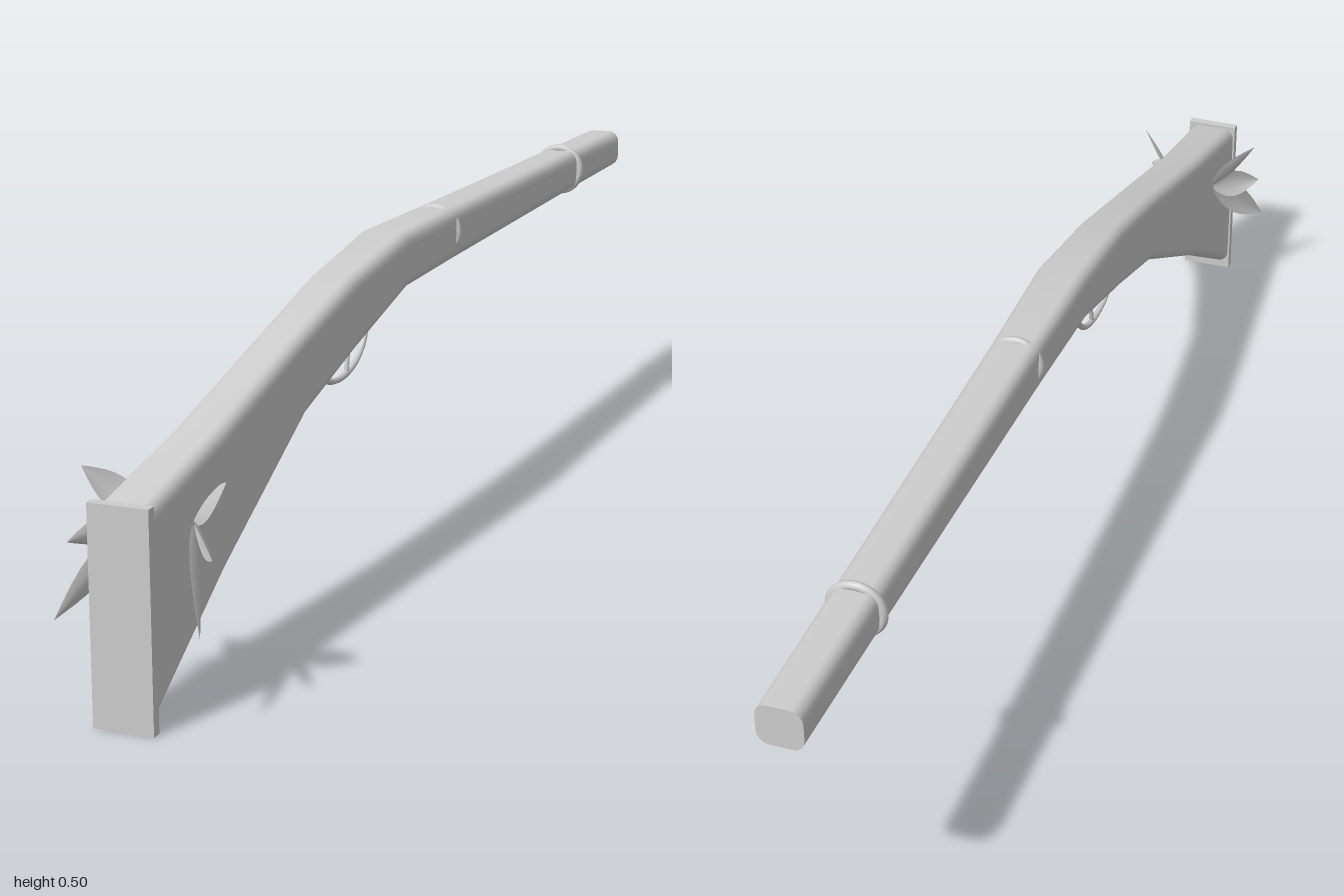
import * as THREE from 'three';

const V = (x, y, z) => new THREE.Vector3(x, y, z);

// Rounded rectangle, counter-clockwise seen from +z
function section([z, bottom, top, hw]) {
  const rx = 0.017, ry = 0.02, n = 4, pts = [];
  const centres = [[hw - rx, top - ry], [rx - hw, top - ry], [rx - hw, bottom + ry], [hw - rx, bottom + ry]];
  centres.forEach(([cx, cy], q) => {
    for (let k = 0; k <= n; k++) {
      const a = (q + k / n) * Math.PI / 2;
      pts.push([cx + rx * Math.cos(a), cy + ry * Math.sin(a), z]);
    }
  });
  return pts;
}

// Skin over cross-sections running from +z to -z, closed at the far end
function loft(sections) {
  const rings = sections.map(section), n = rings[0].length, index = [];
  const position = rings.flat(2);
  for (let i = 0; i < rings.length - 1; i++) {
    for (let j = 0; j < n; j++) {
      const a = i * n + j, b = i * n + (j + 1) % n;
      index.push(a, a + n, b, b, a + n, b + n);
    }
  }
  const cap = rings.length * n;
  position.push(...rings.at(-1).flat());
  for (let k = 1; k < n - 1; k++) index.push(cap, cap + k + 1, cap + k);
  const g = new THREE.BufferGeometry();
  g.setAttribute('position', new THREE.Float32BufferAttribute(position, 3));
  g.setIndex(index);
  g.computeVertexNormals();
  return g;
}

// Pointed petal with a shallow trough, running from base to tip
function petal(base, tip, wide, halfWidth) {
  const axis = tip.clone().sub(base), dir = axis.clone().normalize();
  const w = wide.clone().addScaledVector(dir, -wide.dot(dir)).normalize();
  const normal = dir.clone().cross(w);
  const g = new THREE.PlaneGeometry(1, 1, 4, 10), p = g.attributes.position;
  for (let i = 0; i < p.count; i++) {
    const s = p.getX(i) * 2, t = p.getY(i) + 0.5;
    const width = halfWidth * Math.sin(Math.PI * Math.pow(t, 0.85));
    const v = base.clone().addScaledVector(axis, t).addScaledVector(w, s * width)
      .addScaledVector(normal, 0.3 * width * (s * s - 0.5));
    p.setXYZ(i, v.x, v.y, v.z);
  }
  g.computeVertexNormals();
  return g;
}

export function createModel() {
  const group = new THREE.Group();
  const grey = new THREE.MeshStandardMaterial({ color: 0xcccccc });
  grey.name = 'grey';
  const petalGrey = grey;
  petalGrey.side = THREE.DoubleSide;
  const add = (name, geometry, parent = group) => {
    const mesh = new THREE.Mesh(geometry, grey);
    mesh.name = name;
    parent.add(mesh);
    return mesh;
  };

  // Stock and barrel in one body: z, bottom, top, half width
  add('stockAndBarrel', loft([
    [0.988, 0.012, 0.3, 0.041],
    [0.77, 0.146, 0.346, 0.038],
    [0.49, 0.296, 0.42, 0.037],
    [0.31, 0.35, 0.464, 0.039],
    [0.11, 0.405, 0.493, 0.043],
    [-0.11, 0.408, 0.491, 0.039],
    [-0.4, 0.412, 0.489, 0.037],
    [-0.74, 0.417, 0.487, 0.035],
    [-1, 0.42, 0.485, 0.034],
  ]));

  // Butt plate
  add('buttPlate', new THREE.BoxGeometry(0.088, 0.305, 0.015)).position.set(0, 0.1525, 0.9925);

  // Barrel bands
  for (const z of [-0.11, -0.745]) {
    add('barrelBand', new THREE.TorusGeometry(0.039, 0.007, 10, 40)).position.set(0, 0.452, z);
  }

  // Trigger guard and trigger
  const guard = new THREE.CatmullRomCurve3([
    V(0, 0.345, 0.395), V(0, 0.322, 0.365), V(0, 0.303, 0.32), V(0, 0.301, 0.27),
    V(0, 0.316, 0.22), V(0, 0.345, 0.19), V(0, 0.368, 0.19), V(0, 0.385, 0.21),
  ]);
  add('triggerGuard', new THREE.TubeGeometry(guard, 40, 0.005, 8));
  const trigger = new THREE.CatmullRomCurve3([
    V(0, 0.375, 0.25), V(0, 0.35, 0.252), V(0, 0.325, 0.258), V(0, 0.305, 0.262),
  ]);
  add('trigger', new THREE.TubeGeometry(trigger, 12, 0.004, 8));

  // Three petals on each side of the stock
  for (const s of [1, -1]) {
    const flower = new THREE.Group();
    flower.name = s > 0 ? 'leftPetals' : 'rightPetals';
    group.add(flower);
    const base = V(s * 0.036, 0.247, 0.86);
    add('upperPetal', petal(base, V(s * 0.105, 0.32, 0.9), V(s * 0.35, -0.4, 0.9), 0.024), flower);
    add('middlePetal', petal(base, V(s * 0.105, 0.228, 0.945), V(0, 1, 0.4), 0.024), flower);
    add('lowerPetal', petal(base, V(s * 0.105, 0.134, 0.985), V(s * 0.2, 0.6, 0.75), 0.025), flower);
  }
  return group;
}
